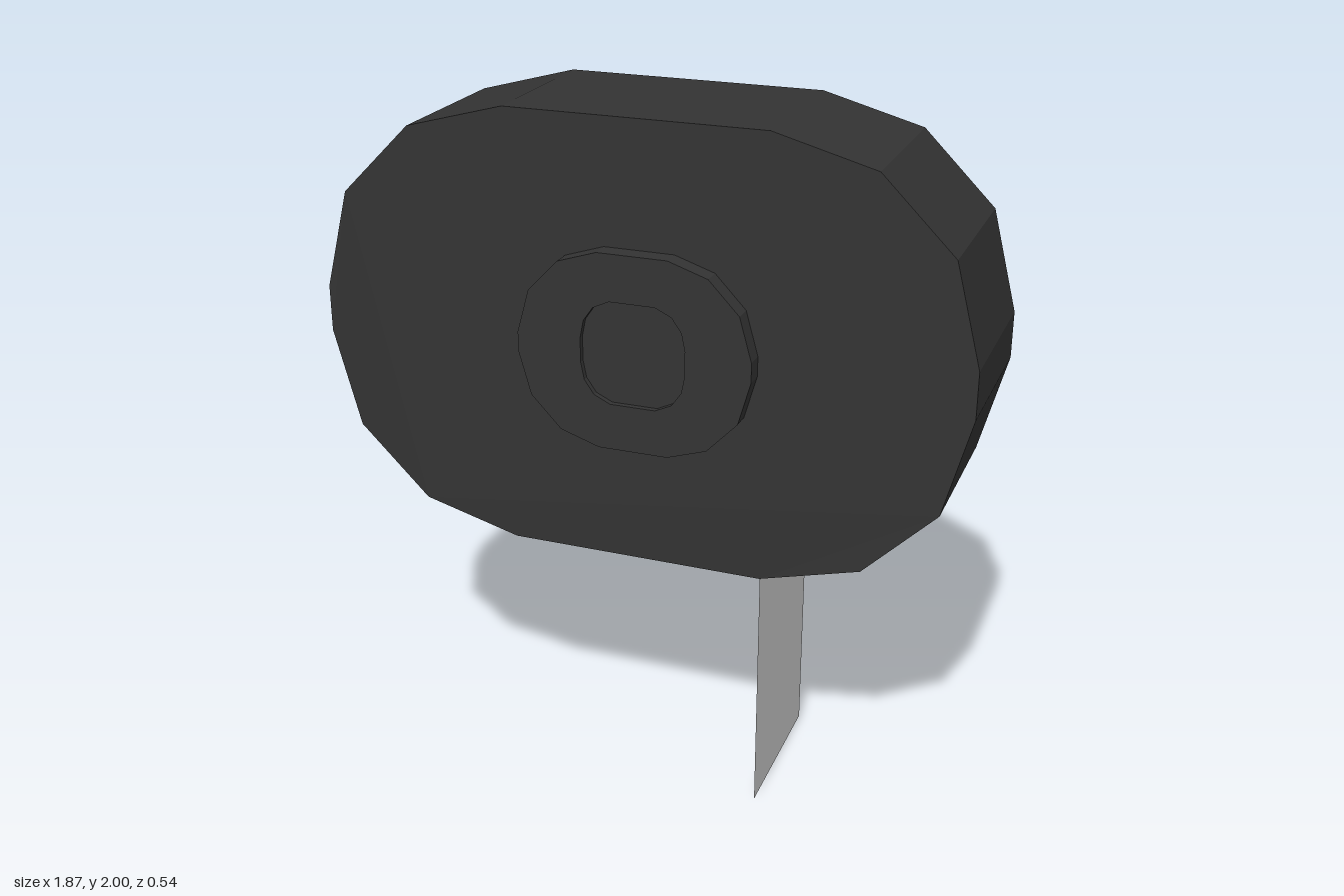
import * as THREE from 'three';

// Mirrors one quadrant of corners (top to side) into a closed outline
function outline(quadrant, cx, cy, Type = THREE.Shape) {
  const back = [...quadrant].reverse();
  const pts = [
    ...back.map(([x, y]) => [x, y]),
    ...quadrant.map(([x, y]) => [-x, y]),
    ...back.map(([x, y]) => [-x, -y]),
    ...quadrant.map(([x, y]) => [x, -y]),
  ];
  return new Type(pts.map(([x, y]) => new THREE.Vector2(x + cx, y + cy)));
}

// Flat slab between two z values
function slab(name, shape, z0, z1, material) {
  const geo = new THREE.ExtrudeGeometry(shape, { depth: z1 - z0, bevelEnabled: false });
  geo.translate(0, 0, z0);
  const mesh = new THREE.Mesh(geo, material);
  mesh.name = name;
  return mesh;
}

export function createModel() {
  const model = new THREE.Group();
  model.name = 'tapeDispenser';
  const dark = new THREE.MeshStandardMaterial({ color: 0x333333, flatShading: true });
  const grey = new THREE.MeshStandardMaterial({ color: 0xcccccc, side: THREE.DoubleSide });
  const cy = 1.368, hubX = 0.016;

  // Case and hub sit very slightly turned about the vertical
  const reel = new THREE.Group();
  reel.name = 'reel';
  reel.rotation.y = -0.008;
  model.add(reel);

  const caseQuad = [[0.37, 0.632], [0.655, 0.555], [0.86, 0.352], [0.935, 0.067]];
  reel.add(slab('case', outline(caseQuad, 0, cy), -0.263, 0.213, dark));

  // Raised hub ring with a shallow recess in its middle
  const hubQuad = [[0.1, 0.28], [0.213, 0.243], [0.3, 0.152], [0.335, 0.028]];
  const holeQuad = [[0.065, 0.147], [0.112, 0.125], [0.14, 0.085], [0.15, 0.035]];
  const ring = outline(hubQuad, hubX, cy);
  ring.holes.push(outline(holeQuad, hubX, cy, THREE.Path));
  reel.add(slab('hubRing', ring, 0.213, 0.267, dark));
  reel.add(slab('hubRecess', outline(holeQuad, hubX, cy), 0.213, 0.25, dark));

  // Loose strip hanging from the lower edge
  const strip = new THREE.Mesh(new THREE.PlaneGeometry(0.473, 0.737), grey);
  strip.name = 'hangingStrip';
  strip.rotation.y = Math.PI / 2;
  strip.position.set(0.37, 0.3685, -0.021);
  model.add(strip);

  return model;
}
